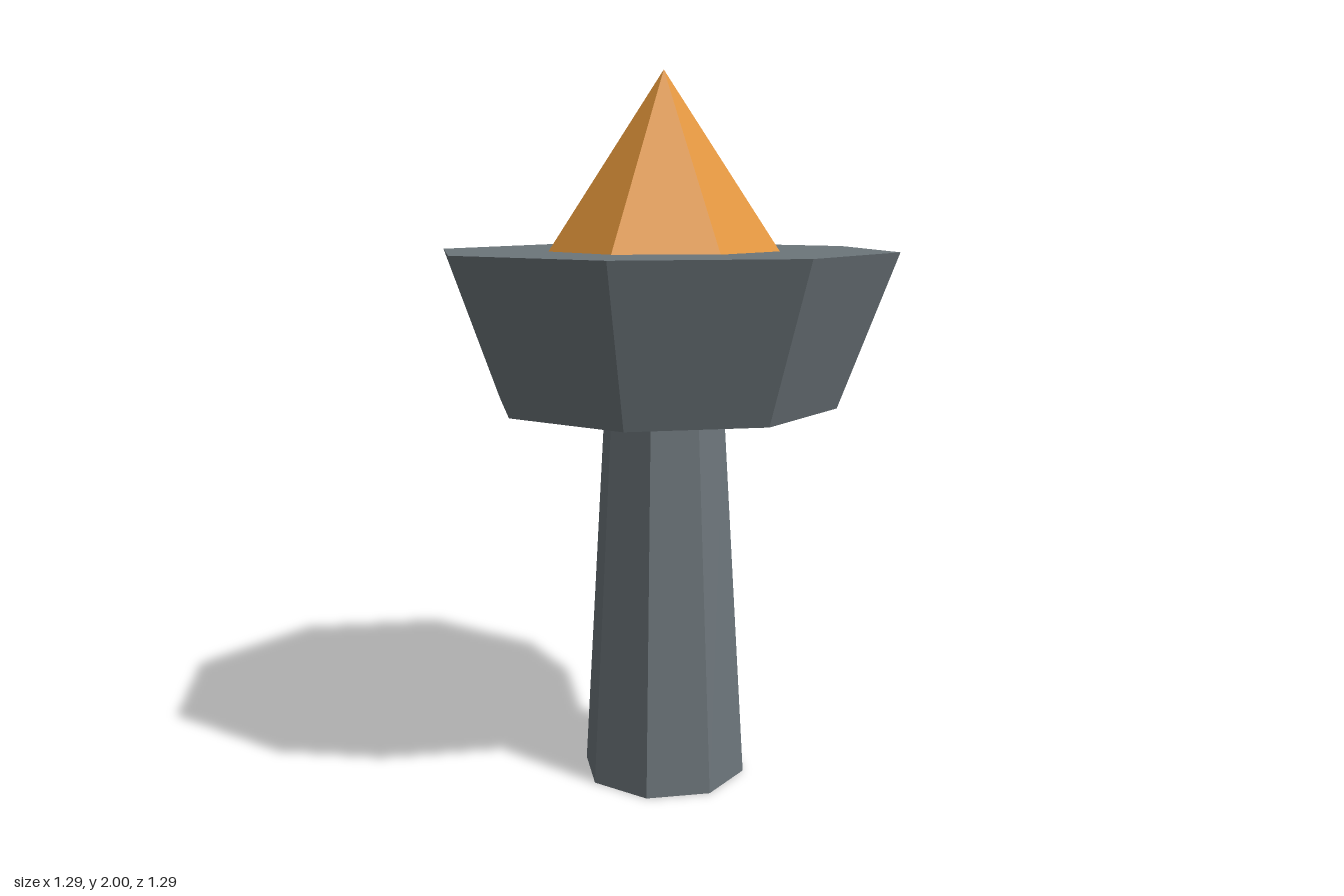
import * as THREE from 'three';

export function createModel() {
  const group = new THREE.Group();
  group.name = 'brazier';

  const stone = new THREE.MeshStandardMaterial({ color: 0x6c757a, flatShading: true });
  stone.name = 'grey stone';
  const fire = new THREE.MeshStandardMaterial({ color: 0xe0943a, flatShading: true });
  fire.name = 'orange flame';

  // Faceted frustum standing between two heights, with one corner on +x
  function frustum(name, rTop, rBottom, y0, y1, sides, material) {
    const geometry = rTop === 0
      ? new THREE.ConeGeometry(rBottom, y1 - y0, sides)
      : new THREE.CylinderGeometry(rTop, rBottom, y1 - y0, sides);
    geometry.rotateY(Math.PI / 2);
    const mesh = new THREE.Mesh(geometry, material);
    mesh.name = name;
    mesh.position.y = (y0 + y1) / 2;
    group.add(mesh);
  }

  // Tapered octagonal column
  frustum('column', 0.172, 0.237, 0, 1.086, 8, stone);
  // Flared octagonal bowl with a closed top
  frustum('bowl', 0.647, 0.487, 1.086, 1.514, 8, stone);
  // Seven-sided flame
  frustum('flame', 0, 0.323, 1.514, 2, 7, fire);

  return group;
}
